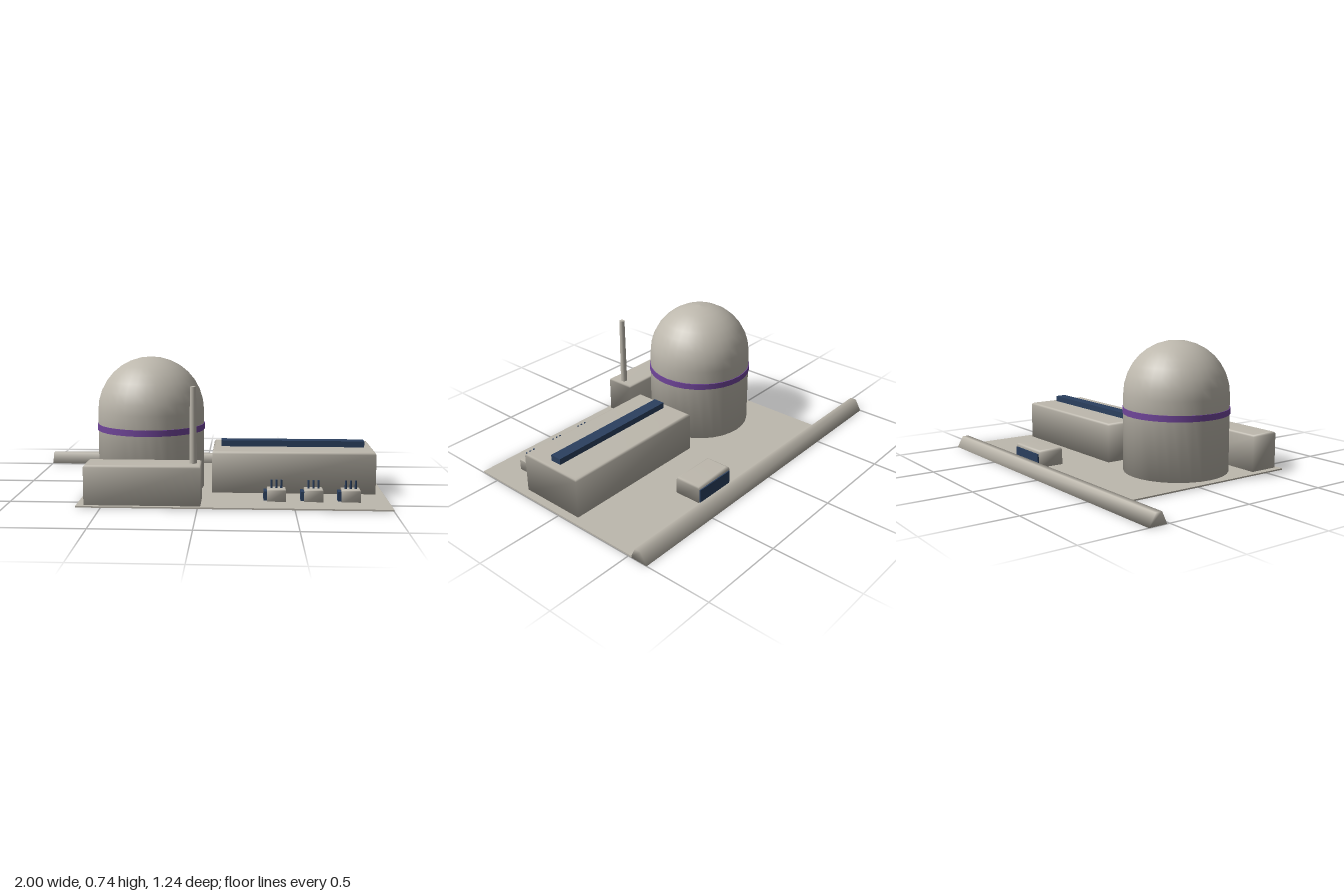
import * as THREE from 'three';

const concrete = new THREE.MeshStandardMaterial({ color: 0xbdb8ad });
concrete.name = 'concrete';
const navy = new THREE.MeshStandardMaterial({ color: 0x2b405f });
navy.name = 'navy';
const purple = new THREE.MeshStandardMaterial({ color: 0x70459a });
purple.name = 'purple';

// Smooth-shaded block lofted through rectangles [y, x0, x1, z0, z1], bottom to top
function loft(rings) {
  const pos = [], idx = [];
  for (const [y, x0, x1, z0, z1] of rings) {
    pos.push(x0, y, z0, x0, y, z1, x1, y, z1, x1, y, z0);
  }
  idx.push(0, 2, 1, 0, 3, 2);
  for (let r = 0; r < rings.length - 1; r++) {
    for (let i = 0; i < 4; i++) {
      const a = r * 4 + i, b = r * 4 + (i + 1) % 4;
      idx.push(a, b, b + 4, a, b + 4, a + 4);
    }
  }
  const t = (rings.length - 1) * 4;
  idx.push(t, t + 1, t + 2, t, t + 2, t + 3);
  const geo = new THREE.BufferGeometry();
  geo.setAttribute('position', new THREE.Float32BufferAttribute(pos, 3));
  geo.setIndex(idx);
  geo.computeVertexNormals();
  return geo;
}

// Building with a small bevel around its roof
function building(x0, x1, z0, z1, h, bevel) {
  const c = bevel * 0.3;
  return loft([
    [0, x0, x1, z0, z1],
    [h - bevel, x0, x1, z0, z1],
    [h - c, x0 + c, x1 - c, z0 + c, z1 - c],
    [h, x0 + bevel, x1 - bevel, z0 + bevel, z1 - bevel],
  ]);
}

// Crisp box given by its extents
function box(x0, x1, y0, y1, z0, z1) {
  return new THREE.BoxGeometry(x1 - x0, y1 - y0, z1 - z0)
    .translate((x0 + x1) / 2, (y0 + y1) / 2, (z0 + z1) / 2);
}

export function createModel() {
  const model = new THREE.Group();
  model.name = 'powerStation';
  const add = (name, geo, mat, parent = model) => {
    const mesh = new THREE.Mesh(geo, mat);
    mesh.name = name;
    parent.add(mesh);
    return mesh;
  };

  // Ground slab and the long embankment behind it
  add('groundSlab', box(-0.63, 1, 0.002, 0.01, -0.525, 0.62), concrete);
  add('embankment', loft([
    [0, -1, 1, -0.62, -0.515],
    [0.065, -1, 1, -0.582, -0.545],
  ]), concrete);

  // Domed reactor with its band
  const R = 0.297, spring = 0.447;
  const profile = [new THREE.Vector2(0, 0), new THREE.Vector2(R, 0)];
  for (let i = 0; i <= 8; i++) {
    const a = (i / 8) * Math.PI / 2;
    profile.push(new THREE.Vector2(i === 8 ? 0 : R * Math.cos(a), spring + R * Math.sin(a)));
  }
  const reactor = new THREE.Group();
  reactor.name = 'reactor';
  reactor.position.set(-0.285, 0, 0.12);
  model.add(reactor);
  add('containmentDome', new THREE.LatheGeometry(profile, 32), concrete, reactor);
  add('reactorBand', new THREE.CylinderGeometry(0.302, 0.302, 0.034, 32).translate(0, 0.356, 0), purple, reactor);

  // Turbine hall with roof ridge
  add('turbineHall', building(0.065, 0.955, -0.1, 0.29, 0.24, 0.014), concrete);
  add('roofRidge', box(0.11, 0.91, 0.238, 0.274, 0.063, 0.13), navy);

  // Service building and chimney
  add('serviceBuilding', building(-0.59, 0.015, 0.425, 0.598, 0.22, 0.012), concrete);
  add('chimney', new THREE.CylinderGeometry(0.016, 0.02, 0.41, 12).translate(-0.026, 0.415, 0.514), concrete);

  // Gatehouse with its door on the back
  add('gatehouse', building(0.193, 0.455, -0.489, -0.337, 0.11, 0.014), concrete);
  add('gatehouseDoor', box(0.2, 0.448, 0.012, 0.088, -0.496, -0.488), navy);

  // Row of transformers with radiators and insulator pins
  for (let i = 0; i < 3; i++) {
    const unit = new THREE.Group();
    unit.name = 'transformer' + (i + 1);
    unit.position.set(0.41 + i * 0.195, 0, 0.444);
    model.add(unit);
    add('tank', building(-0.05, 0.05, -0.036, 0.036, 0.076, 0.007), concrete, unit);
    add('radiator', box(-0.068, -0.048, 0.014, 0.064, -0.03, 0.03), navy, unit);
    for (const x of [-0.026, 0, 0.026]) {
      add('insulatorPin', new THREE.CylinderGeometry(0.005, 0.006, 0.05, 8).translate(x, 0.095, 0), navy, unit);
    }
  }
  return model;
}
